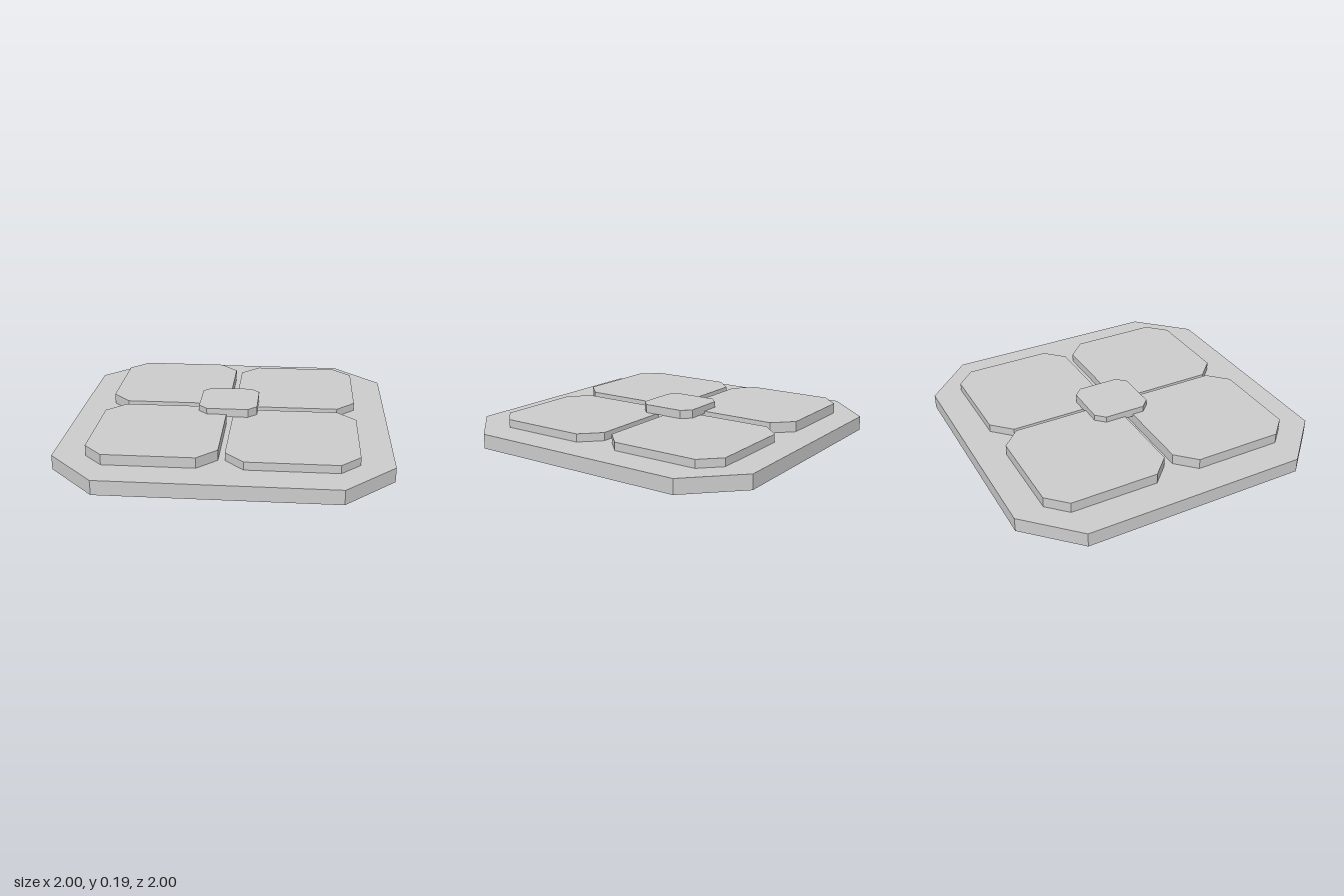
import * as THREE from 'three';

const material = new THREE.MeshStandardMaterial({ color: 0xcccccc, flatShading: true });

// Flat slab with four cut corners, spanning x0..x1, z0..z1 and y0..y1
function slab(name, x0, x1, z0, z1, y0, y1, cut) {
  const w = (x1 - x0) / 2, d = (z1 - z0) / 2;
  const outline = new THREE.Shape([
    [w, cut - d], [w, d - cut], [w - cut, d], [cut - w, d],
    [-w, d - cut], [-w, cut - d], [cut - w, -d], [w - cut, -d],
  ].map(([x, y]) => new THREE.Vector2(x, y)));
  const geometry = new THREE.ExtrudeGeometry(outline, { depth: y1 - y0, bevelEnabled: false });
  geometry.rotateX(-Math.PI / 2);
  const mesh = new THREE.Mesh(geometry, material);
  mesh.name = name;
  mesh.position.set((x0 + x1) / 2, y0, (z0 + z1) / 2);
  return mesh;
}

export function createModel() {
  const group = new THREE.Group();
  group.name = 'tieredPlate';

  // Base plate
  group.add(slab('basePlate', -1, 1, -1, 1, 0, 0.09, 0.3));

  // Four raised pads; the right-hand pair is slightly thicker
  const columns = [['Right', -0.8, -0.02, 0.155], ['Left', 0.02, 0.8, 0.14]];
  const rows = [['back', -0.82, -0.04], ['front', 0.016, 0.8]];
  for (const [side, x0, x1, top] of columns)
    for (const [end, z0, z1] of rows)
      group.add(slab(`${end}${side}Pad`, x0, x1, z0, z1, 0.09, top, 0.116));

  // Small centre cap, set slightly off centre
  group.add(slab('centreCap', -0.2, 0.172, -0.228, 0.145, 0.14, 0.193, 0.055));

  return group;
}
